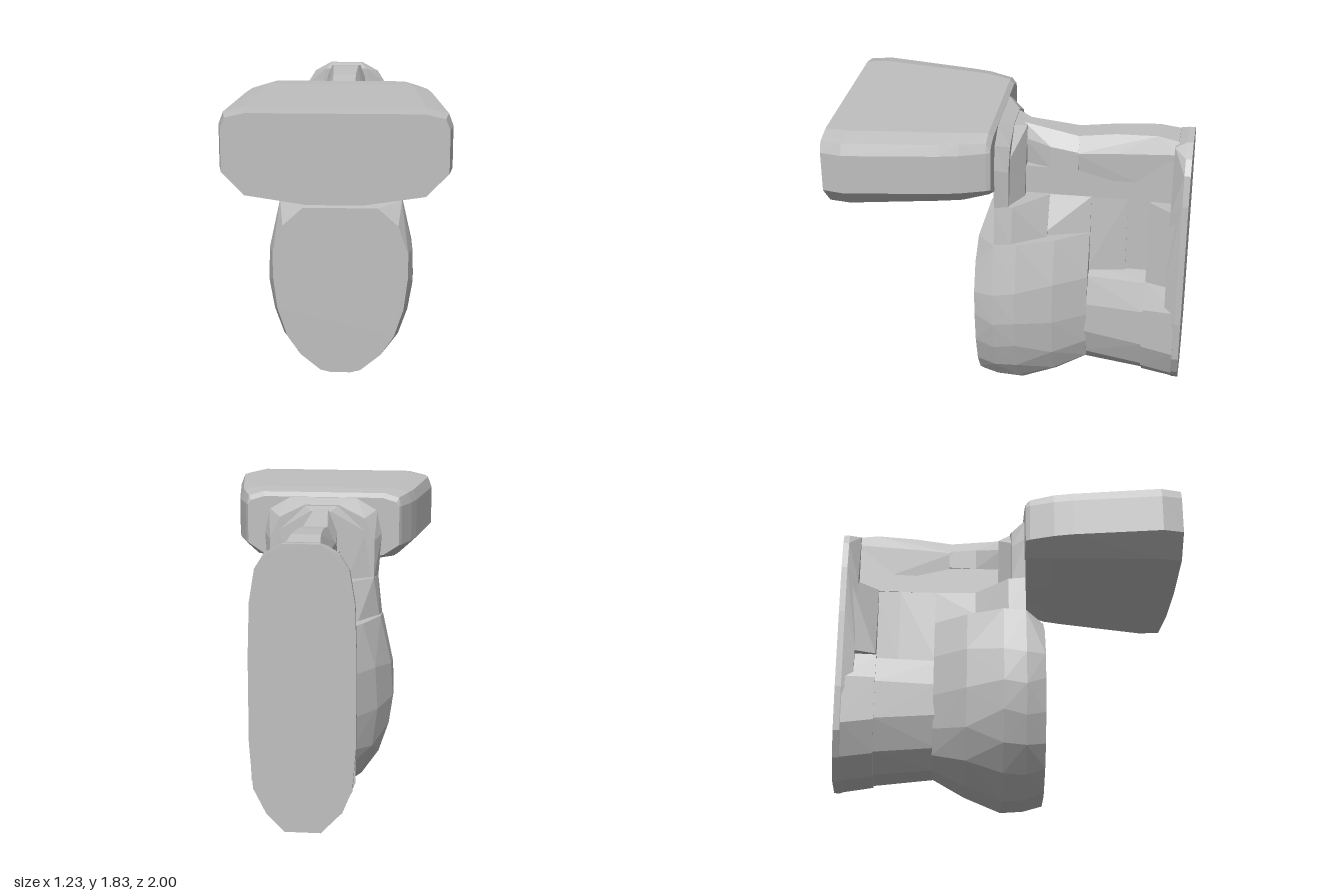
import * as THREE from 'three';
import { ConvexGeometry } from 'three/addons/geometries/ConvexGeometry.js';

const grey = new THREE.MeshStandardMaterial({ color: 0xbfbfbf });
grey.name = 'grey';

// Faceted solid through mirrored cross-sections: [z, [[halfWidth, y], ...]]
function solid(group, name, sections) {
  const points = [];
  for (const [z, outline] of sections)
    for (const [x, y] of outline)
      for (const side of [-1, 1]) points.push(new THREE.Vector3(side * x, y, z));
  const mesh = new THREE.Mesh(new ConvexGeometry(points), grey);
  mesh.name = name;
  group.add(mesh);
}

// Four-cornered section
const slab = (w, bottom, top, topW = w) => [[w, bottom], [topW, top]];

export function createModel() {
  const g = new THREE.Group();
  g.name = 'wallFixture';

  // Wide overhanging head, flaring toward the front
  const head = (w, bottom, top) => [
    [0.25 * w, bottom], [0.8 * w, bottom + 0.05], [w, 1.51], [w, 1.74],
    [0.96 * w, top - 0.025], [0.78 * w, top],
  ];
  solid(g, 'head', [
    [1, head(0.595, 1.335, 1.825)],
    [0.88, head(0.615, 1.335, 1.83)],
    [0.36, head(0.54, 1.36, 1.825)],
    [0.25, head(0.515, 1.365, 1.825)],
    [0.11, head(0.465, 1.39, 1.815)],
    [0.085, head(0.45, 1.4, 1.79)],
  ]);

  // Collar behind the head, then a wedge narrowing to the arm
  solid(g, 'collar', [
    [0.09, [[0.33, 1.33], [0.35, 1.58], [0.32, 1.72], [0.2, 1.79]]],
    [0.01, [[0.31, 1.33], [0.31, 1.55], [0.25, 1.68], [0.1, 1.755]]],
  ]);
  solid(g, 'collarWedge', [
    [0.015, [[0.3, 1.33], [0.26, 1.6], [0.1, 1.75]]],
    [-0.06, [[0.16, 1.33], [0.1, 1.55], [0.06, 1.73]]],
  ]);

  // Neck between bowl and head
  solid(g, 'neck', [
    [0.09, slab(0.355, 1.1, 1.33, 0.33)],
    [-0.01, slab(0.345, 1.1, 1.33, 0.31)],
    [-0.2, slab(0.23, 1.1, 1.33, 0.12)],
  ]);
  solid(g, 'neckBack', [
    [-0.15, slab(0.23, 1.1, 1.33, 0.12)],
    [-0.44, slab(0.14, 1.1, 1.33, 0.11)],
  ]);

  // Oval bowl with a flat front
  solid(g, 'bowl', [
    [0.2, [[0.06, 0.045], [0.12, 0.06], [0.24, 0.16], [0.32, 0.28], [0.375, 0.45],
      [0.4, 0.65], [0.4, 0.8], [0.34, 0.97], [0.22, 1.08]]],
    [0.09, [[0.1, 0.02], [0.24, 0.12], [0.345, 0.26], [0.4, 0.42], [0.43, 0.6],
      [0.425, 0.8], [0.36, 1.1]]],
    [-0.04, [[0.03, 0], [0.1, 0.01], [0.25, 0.125], [0.35, 0.27], [0.41, 0.45],
      [0.432, 0.62], [0.42, 0.82], [0.355, 1.11]]],
    [-0.25, [[0.1, 0.1], [0.24, 0.2], [0.325, 0.37], [0.355, 0.6], [0.34, 0.85],
      [0.265, 1.11]]],
    [-0.44, [[0.07, 0.2], [0.16, 0.26], [0.215, 0.4], [0.235, 0.6], [0.22, 0.85],
      [0.14, 1.11]]],
  ]);

  // Round socket joining the bowl to the wall plate
  const ring = (w, bottom, top) => [
    [0.35 * w, bottom], [0.75 * w, bottom + 0.1], [w, bottom + 0.28],
    [w, top - 0.2], [0.8 * w, top - 0.03], [0.4 * w, top],
  ];
  solid(g, 'socket', [[-0.42, ring(0.23, 0.2, 0.87)], [-0.78, ring(0.265, 0.16, 0.87)]]);
  solid(g, 'socketRing', [[-0.775, ring(0.27, 0.15, 0.89)], [-0.96, ring(0.285, 0.12, 0.89)]]);

  // Upright posts between bowl, arm and plate
  solid(g, 'frontPost', [[-0.42, slab(0.14, 0.85, 1.33, 0.11)], [-0.65, slab(0.12, 0.85, 1.33, 0.11)]]);
  solid(g, 'middlePost', [[-0.64, slab(0.11, 0.85, 1.33)], [-0.79, slab(0.11, 0.85, 1.33)]]);
  solid(g, 'rearPost', [[-0.78, slab(0.23, 0.86, 1.33, 0.13)], [-0.95, slab(0.285, 0.86, 1.33, 0.27)]]);

  // Upper arm with a lower brace
  solid(g, 'armFront', [
    [-0.04, [[0.06, 1.5], [0.07, 1.66], [0.04, 1.74]]],
    [-0.2, [[0.11, 1.5], [0.11, 1.63], [0.06, 1.71]]],
    [-0.36, [[0.12, 1.5], [0.12, 1.61], [0.07, 1.69]]],
  ]);
  solid(g, 'armRear', [
    [-0.34, [[0.11, 1.5], [0.12, 1.6], [0.07, 1.69]]],
    [-0.57, [[0.11, 1.45], [0.12, 1.62], [0.07, 1.72]]],
    [-0.8, [[0.11, 1.4], [0.115, 1.64], [0.08, 1.73]]],
    [-0.92, [[0.11, 1.35], [0.12, 1.64], [0.09, 1.71]]],
  ]);
  solid(g, 'armBrace', [[-0.04, slab(0.11, 1.33, 1.5)], [-0.565, slab(0.11, 1.33, 1.5)]]);
  solid(g, 'armFoot', [[-0.56, slab(0.11, 1.33, 1.58)], [-0.92, slab(0.12, 1.33, 1.6)]]);

  // Tall wall plate with clipped corners, its upper front bevelled to the arm
  const lowerEdge = [[0.1, 0.115], [0.2, 0.22], [0.27, 0.36], [0.29, 0.62]];
  const upperEdge = [[0.29, 1.1], [0.28, 1.4], [0.25, 1.58], [0.2, 1.66], [0.1, 1.715]];
  solid(g, 'wallPlate', [
    [-1, [...lowerEdge, ...upperEdge]],
    [-0.965, [...lowerEdge, ...upperEdge]],
    [-0.9, [[0.1, 0.14], [0.25, 0.38], [0.27, 0.62], [0.27, 0.9], [0.24, 1.33], [0.13, 1.69]]],
  ]);

  return g;
}
